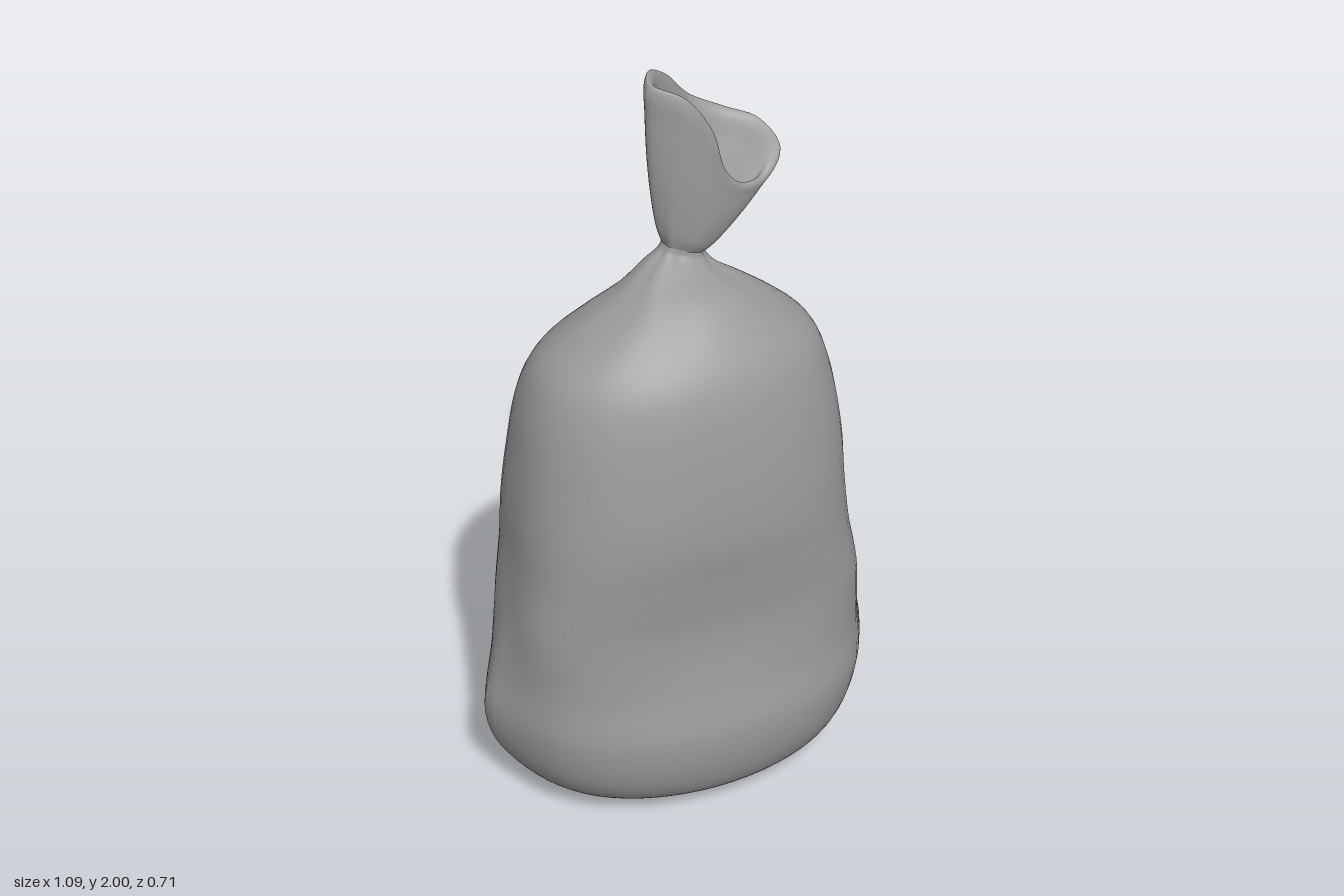
import * as THREE from 'three';

const COLS = 64;
const V = (x, y, z) => new THREE.Vector3(x, y, z);

// Smooth skin through a stack of rings (each ring: COLS points, ordered +x, +z, -x, -z)
function loft(name, rings, rows, material) {
  const positions = [], index = [];
  const columns = [];
  for (let j = 0; j < COLS; j++) {
    columns.push(new THREE.CatmullRomCurve3(rings.map(r => r[j]), false, 'centripetal'));
  }
  for (let i = 0; i <= rows; i++) {
    for (const c of columns) positions.push(...c.getPoint(i / rows).toArray());
  }
  for (let i = 0; i < rows; i++) {
    for (let j = 0; j < COLS; j++) {
      const k = (j + 1) % COLS;
      const a = i * COLS + j, b = i * COLS + k, c = a + COLS, d = b + COLS;
      index.push(a, c, b, b, c, d);
    }
  }
  const g = new THREE.BufferGeometry();
  g.setAttribute('position', new THREE.Float32BufferAttribute(positions, 3));
  g.setIndex(index);
  g.computeVertexNormals();
  const mesh = new THREE.Mesh(g, material);
  mesh.name = name;
  return mesh;
}

// Ring from its extents: n squares the outline (2 = ellipse), tip sharpens the
// sides, fold adds pleats, tilt lowers the +x side
function ring([y, x0, x1, z0, z1, n = 2, tip = 0, fold = 0, tilt = 0]) {
  const pts = [];
  for (let j = 0; j < COLS; j++) {
    const t = (j / COLS) * Math.PI * 2;
    const ac = Math.abs(Math.cos(t)), as = Math.abs(Math.sin(t));
    const r = (ac ** n + as ** n) ** (-1 / n)
      * (1 - tip * Math.sin(4 * Math.atan2(as, ac)) * ac * ac)
      * (1 + fold * (Math.cos(5 * t + 0.6) + 0.6 * Math.cos(8 * t)));
    const c = Math.cos(t) * r, s = Math.sin(t) * r;
    pts.push(V((x0 + x1) / 2 + c * (x1 - x0) / 2, y - tilt * c, (z0 + z1) / 2 + s * (z1 - z0) / 2));
  }
  return pts;
}

export function createModel() {
  const group = new THREE.Group();
  group.name = 'tiedBag';
  const material = new THREE.MeshStandardMaterial({ color: 0x999999, side: THREE.DoubleSide });

  // Filled bag: y, x min, x max, z min, z max, squareness, tip, pleats, tilt
  const body = [
    [0.0, -0.005, 0.005, -0.005, 0.005],
    [0.006, -0.2, 0.2, -0.13, 0.13],
    [0.03, -0.36, 0.36, -0.24, 0.24],
    [0.08, -0.455, 0.455, -0.305, 0.305, 2, 0.02],
    [0.16, -0.515, 0.51, -0.345, 0.343, 2.05, 0.04],
    [0.29, -0.548, 0.546, -0.354, 0.358, 2.08, 0.05],
    [0.43, -0.522, 0.52, -0.318, 0.327, 2.35, 0.04],
    [0.6, -0.48, 0.475, -0.277, 0.305, 3],
    [0.75, -0.46, 0.447, -0.3, 0.315, 2.85],
    [0.88, -0.453, 0.437, -0.32, 0.325, 2.55],
    [1.02, -0.437, 0.43, -0.313, 0.313, 2.4],
    [1.2, -0.405, 0.4, -0.285, 0.28, 2.25],
    [1.3, -0.36, 0.36, -0.24, 0.245, 2.15],
    [1.38, -0.265, 0.275, -0.18, 0.19, 2.05, 0, 0.01],
    [1.45, -0.15, 0.175, -0.125, 0.115, 2, 0, 0.025],
    [1.495, -0.07, 0.115, -0.098, 0.03, 2, 0, 0.05, 0.012],
    [1.52, -0.025, 0.1, -0.088, -0.008, 2, 0, 0.05, 0.018],
    [1.535, -0.016, 0.095, -0.086, -0.012, 2, 0, 0.04, 0.02],
  ].map(ring);
  group.add(loft('bagBody', body, 110, material));

  // Slanted rim of the open end above the knot
  const rimCurve = new THREE.CatmullRomCurve3([
    V(0.313, 1.745, -0.07), V(0.265, 1.69, -0.045), V(0.19, 1.692, -0.02),
    V(0.135, 1.745, -0.003), V(0.095, 1.86, 0.005), V(0.02, 1.955, -0.003),
    V(-0.05, 1.985, -0.05), V(-0.035, 1.997, -0.1), V(0.03, 1.955, -0.155),
    V(0.11, 1.875, -0.187), V(0.2, 1.835, -0.165), V(0.275, 1.81, -0.115),
  ], true);
  const rim = Array.from({ length: COLS }, (_, j) => rimCurve.getPoint(j / COLS));
  const neck = body[body.length - 1];

  // Ring part way from knot to rim, pushed outward (or inward when negative)
  const between = (f, push) => rim.map((p, j) => {
    const q = neck[j].clone().lerp(p, f);
    const out = q.clone().sub(V(0.045 + 0.075 * f, q.y, -0.05 - 0.035 * f));
    const amount = Math.max(push, -0.8 * out.length());
    return q.addScaledVector(out.normalize(), amount);
  });

  // Outer wall, rolled lip, then inner wall back down to the knot
  const mouth = [
    neck, between(0.1, 0.01), between(0.3, 0.016), between(0.55, 0.016), between(0.8, 0.01),
    between(0.95, 0.005), between(1, -0.006), between(0.97, -0.02),
    between(0.8, -0.02), between(0.55, -0.018), between(0.3, -0.018), between(0.12, -0.03),
    between(0.08, -0.2),
  ];
  group.add(loft('openMouth', mouth, 72, material));

  return group;
}
